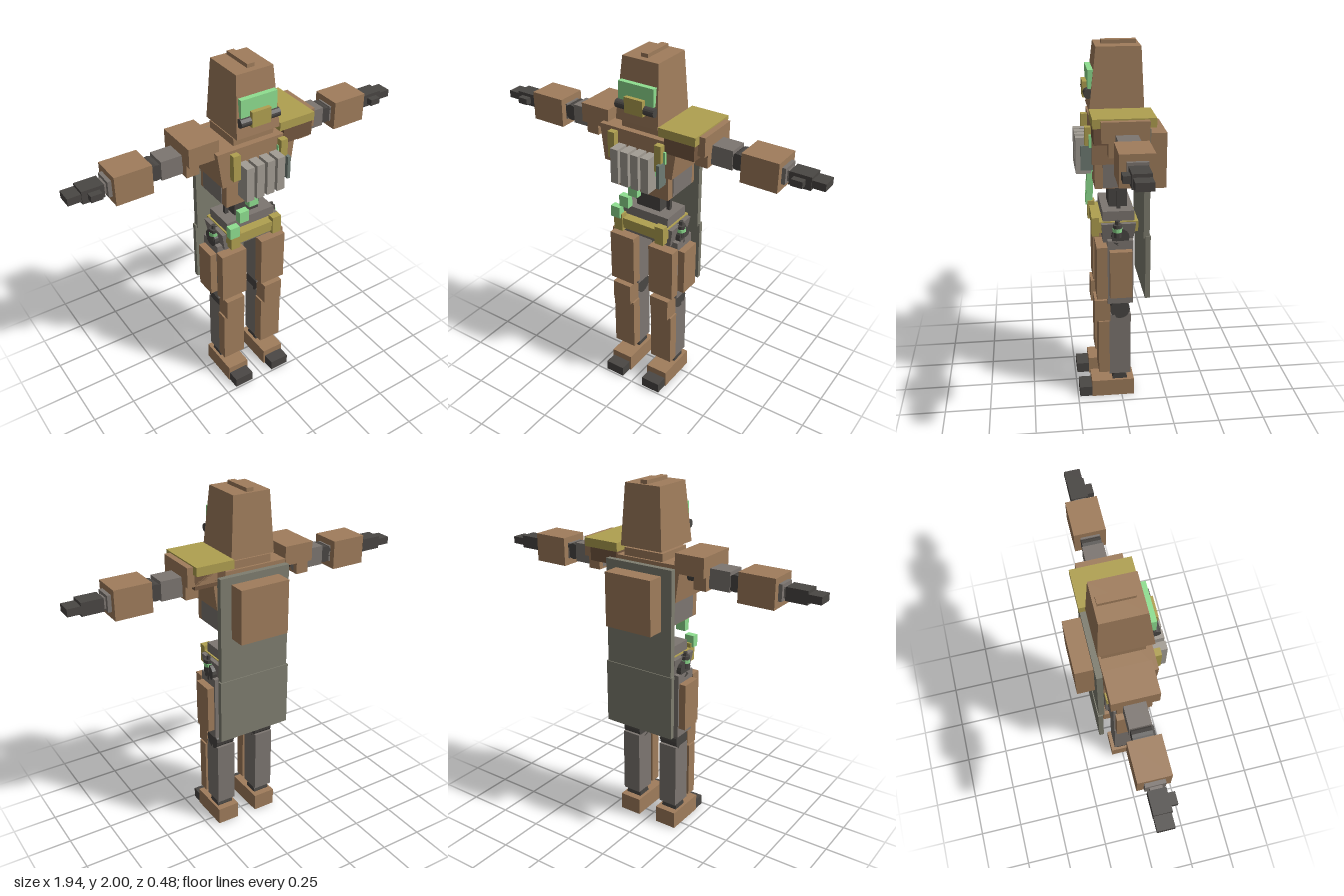
import * as THREE from 'three';

const mat = (color) => new THREE.MeshStandardMaterial({ color, flatShading: true });

export function createModel() {
  const model = new THREE.Group();
  const brown = mat(0xa07d5c), darkBrown = mat(0x755840), dark = mat(0x4a4744);
  const grey = mat(0x7d7671), cloth = mat(0x7f7e70), yellow = mat(0xb0a050);
  const green = mat(0x8fdf90), pale = mat(0xa39d94), steel = mat(0x6f7c74);

  const add = (name, geometry, material) => {
    const mesh = new THREE.Mesh(geometry, material);
    mesh.name = name;
    model.add(mesh);
    return mesh;
  };
  // Box given by its extents along each axis
  const box = (name, material, x0, x1, y0, y1, z0, z1) => {
    const mesh = add(name, new THREE.BoxGeometry(Math.abs(x1 - x0), y1 - y0, z1 - z0), material);
    mesh.position.set((x0 + x1) / 2, (y0 + y1) / 2, (z0 + z1) / 2);
    return mesh;
  };
  // Cylinder along a chosen axis
  const rod = (name, material, axis, r, length, x, y, z, sides = 16) => {
    const g = new THREE.CylinderGeometry(r, r, length, sides);
    if (axis === 'x') g.rotateZ(Math.PI / 2);
    if (axis === 'z') g.rotateX(Math.PI / 2);
    add(name, g, material).position.set(x, y, z);
  };
  // Box whose top has its own extents in x and z
  const taper = (name, material, y0, y1, bottom, top) => {
    const g = new THREE.BoxGeometry(1, 1, 1), p = g.attributes.position;
    for (let i = 0; i < p.count; i++) {
      const up = p.getY(i) > 0, [hx, z0, z1] = up ? top : bottom;
      p.setXYZ(i, p.getX(i) * 2 * hx, up ? y1 : y0, p.getZ(i) > 0 ? z1 : z0);
    }
    g.computeVertexNormals();
    return add(name, g, material);
  };

  // Legs, arms and side gear, mirrored
  for (const s of [1, -1]) {
    const sbox = (name, m, x0, x1, ...rest) => box(name, m, s * x0, s * x1, ...rest);
    sbox('foot', brown, 0.06, 0.19, 0, 0.1, -0.07, 0.17);
    sbox('toe', dark, 0.07, 0.185, 0, 0.06, 0.17, 0.24);
    rod('ankle', dark, 'x', 0.042, 0.095, s * 0.127, 0.105, 0.01);
    sbox('shin', grey, 0.072, 0.182, 0.14, 0.52, -0.05, 0.07);
    sbox('shinPlate', brown, 0.06, 0.195, 0.16, 0.485, 0.07, 0.13);
    rod('knee', dark, 'x', 0.055, 0.11, s * 0.127, 0.55, 0.01);
    sbox('kneePad', brown, 0.07, 0.185, 0.483, 0.61, 0.065, 0.15);
    sbox('thigh', grey, 0.06, 0.2, 0.597, 0.97, -0.06, 0.08);
    sbox('thighPlate', brown, 0.05, 0.205, 0.63, 0.935, 0.08, 0.138);
    sbox('hipPlate', brown, 0.2, 0.24, 0.65, 0.92, -0.05, 0.07);
    rod('hip', dark, 'x', 0.048, 0.08, s * 0.16, 0.99, 0.01);

    // Grenade hanging on the belt
    rod('grenade', dark, 'y', 0.025, 0.07, s * 0.188, 1.025, 0.025, 10);
    rod('grenadeBand', green, 'y', 0.027, 0.02, s * 0.188, 1.03, 0.025, 10);
    rod('grenadeCap', dark, 'y', 0.012, 0.025, s * 0.188, 1.07, 0.025, 8);

    sbox('waistPiston', dark, 0.09, 0.11, 1.11, 1.27, 0, 0.02);
    rod('shoulderJoint', dark, 'x', 0.045, 0.14, s * 0.26, 1.54, 0.01);
    sbox('pauldron', brown, 0.205, 0.375, 1.56, 1.665, -0.115, 0.125);
    sbox('pauldronRim', brown, 0.3, 0.372, 1.485, 1.56, -0.085, 0.09);
    sbox('upperArm', grey, 0.3, 0.49, 1.495, 1.6, -0.055, 0.055);
    rod('elbow', dark, 'z', 0.044, 0.1, s * 0.515, 1.545, 0);
    sbox('forearm', grey, 0.54, 0.77, 1.5, 1.587, -0.05, 0.05);
    sbox('forearmArmor', brown, 0.55, 0.75, 1.462, 1.62, -0.083, 0.083);
    sbox('wrist', grey, 0.77, 0.79, 1.515, 1.57, -0.03, 0.03);
    sbox('hand', dark, 0.785, 0.9, 1.508, 1.578, -0.045, 0.045);
    sbox('fingers', dark, 0.9, 0.97, 1.522, 1.562, -0.045, 0.04);
    sbox('thumb', dark, 0.81, 0.87, 1.525, 1.56, 0.04, 0.08);

    // Chest strap and belt pouch
    sbox('chestStrap', yellow, 0.122, 0.163, 1.44, 1.585, 0.15, 0.19);
    sbox('beltPouch', yellow, 0.105, 0.16, 0.985, 1.09, 0.12, 0.16);
  }

  // Pelvis, belt and waist
  taper('pelvis', grey, 0.95, 1.06, [0.175, -0.06, 0.1], [0.195, -0.075, 0.11]).scale.x = 0.95;
  box('belt', yellow, -0.16, 0.16, 1.005, 1.065, -0.09, 0.152);
  box('waist', grey, -0.15, 0.15, 1.06, 1.12, -0.07, 0.1);
  box('abdomen', dark, -0.075, 0.075, 1.11, 1.27, -0.04, 0.06);

  // Torso
  box('lowerChest', brown, -0.177, 0.177, 1.26, 1.41, -0.11, 0.142);
  box('ribs', grey, -0.182, 0.182, 1.265, 1.4, -0.08, 0.1);
  taper('chest', brown, 1.4, 1.6, [0.208, -0.112, 0.158], [0.235, -0.112, 0.155]);
  box('collar', brown, -0.12, 0.12, 1.6, 1.642, -0.1, 0.12);
  rod('neck', dark, 'y', 0.05, 0.08, 0, 1.64, 0.01);

  // Extra armour over the left shoulder
  box('shoulderCover', yellow, 0.13, 0.343, 1.625, 1.672, -0.152, 0.165);
  box('shoulderSkirt', darkBrown, 0.16, 0.335, 1.54, 1.625, -0.115, 0.158);

  // Head with visor and goggles
  taper('head', brown, 1.655, 1.98, [0.127, -0.12, 0.163], [0.106, -0.105, 0.125]);
  box('crest', brown, -0.02, 0.02, 1.97, 2, -0.09, 0.09);
  box('visor', green, -0.105, 0.105, 1.77, 1.865, 0.135, 0.167);
  rod('goggles', dark, 'x', 0.024, 0.23, 0, 1.745, 0.165);
  box('facePlate', yellow, -0.055, 0.055, 1.715, 1.798, 0.15, 0.19);

  // Magazines on the chest and a blade beside them
  for (let i = 0; i < 4; i++) {
    const x = -0.092 + i * 0.062;
    box('magazine', pale, x - 0.023, x + 0.023, 1.325, 1.52, 0.155, 0.235);
  }
  box('blade', steel, 0.15, 0.168, 1.36, 1.49, 0.15, 0.213);

  // Diagonal bandolier of small pouches
  for (let i = 0; i < 6; i++) {
    const x = -0.143 + i * 0.058, y = 1.1 + i * 0.083;
    box('bandolierPouch', green, x - 0.029, x + 0.029, y - 0.033, y + 0.033, 0.132, 0.17);
  }

  // Cape and backpack
  box('upperCape', cloth, -0.207, 0.207, 0.98, 1.58, -0.145, -0.113);
  box('lowerCape', cloth, -0.215, 0.215, 0.63, 0.995, -0.15, -0.123);
  box('backpack', brown, -0.143, 0.143, 1.24, 1.54, -0.24, -0.14);

  return model;
}
